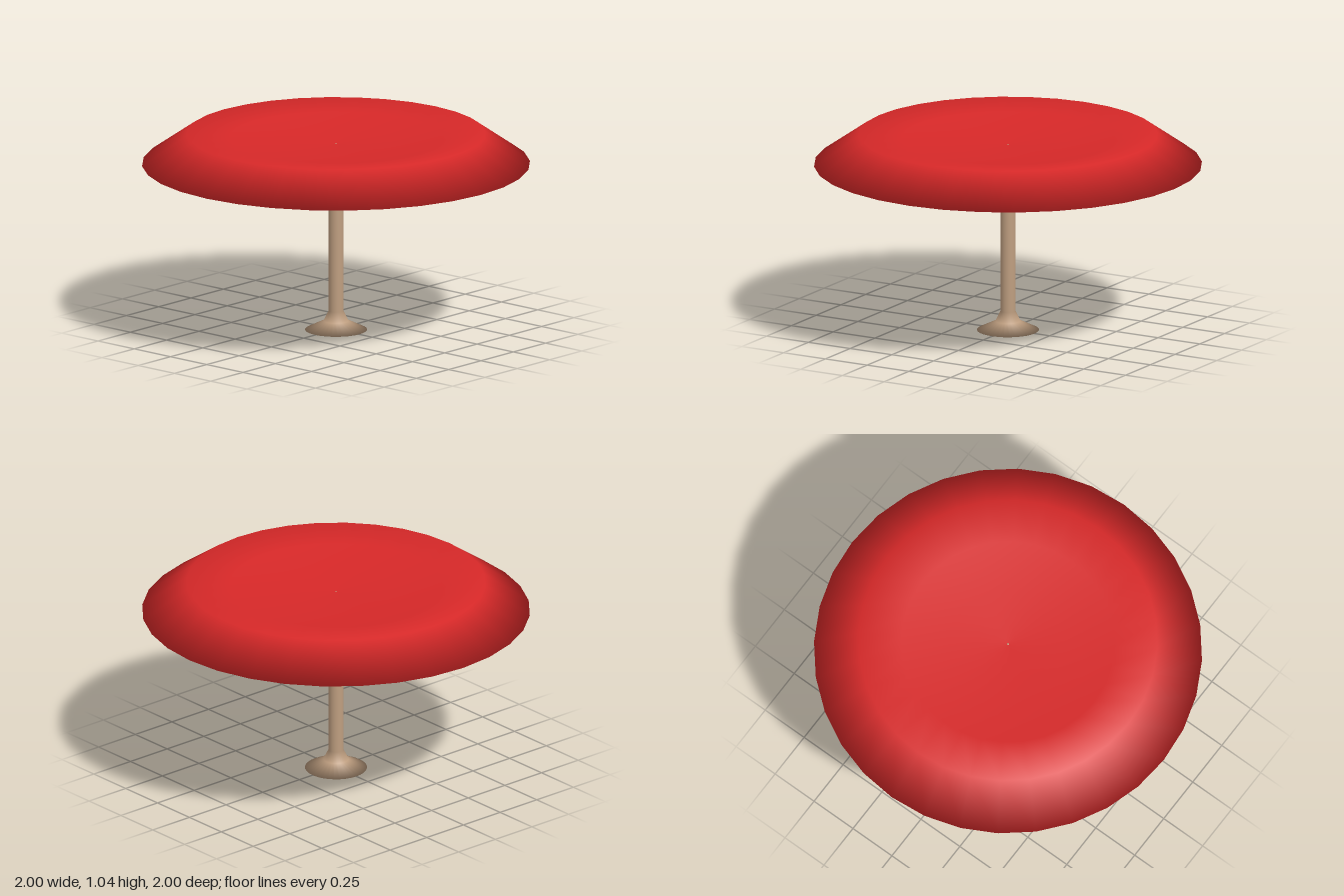
import * as THREE from 'three';

const SIDES = 32;

function material(name, color) {
  const m = new THREE.MeshStandardMaterial({ color });
  m.name = name;
  return m;
}

function lathe(profile, sides) {
  return new THREE.LatheGeometry(profile.map(([r, y]) => new THREE.Vector2(r, y)), sides);
}

// Sort the quads of a lathe into one material group per colour; bands[j] is the colour of profile step j
function colourBands(geometry, bands) {
  const old = geometry.index.array;
  const sorted = [];
  for (let c = 0; c <= Math.max(...bands); c++) {
    const start = sorted.length;
    for (let q = 0; q < old.length / 6; q++) {
      if (bands[q % bands.length] === c) sorted.push(...old.slice(q * 6, q * 6 + 6));
    }
    geometry.addGroup(start, sorted.length - start, c);
  }
  geometry.setIndex(sorted);
}

export function createModel() {
  const red = material('red', 0xd62828);
  const beige = material('beige', 0xbc9c7e);
  const darkBrown = material('darkBrown', 0x4c3e2c);
  const model = new THREE.Group();

  // Cap: thin shell running from the hollow underside, round the rim, to the dished top
  const capProfile = [
    [0, 0.972], [0.3, 0.97], [0.72, 0.96], [0.85, 0.923], [1, 0.88],
    [0.77, 1.04], [0.55, 1.018], [0.3, 0.995], [0, 0.985],
  ];
  const rim = 4;
  const capGeometry = lathe(capProfile, SIDES);
  // Rounded shading along the thin rim
  for (let i = 0; i <= SIDES; i++) {
    const a = (i / SIDES) * Math.PI * 2;
    capGeometry.attributes.normal.setXYZ(
      i * capProfile.length + rim, 0.85 * Math.sin(a), -0.527, 0.85 * Math.cos(a));
  }
  colourBands(capGeometry, [1, 2, 2, 1, 0, 0, 0, 0]);
  const cap = new THREE.Mesh(capGeometry, [red, beige, darkBrown]);
  cap.name = 'cap';
  model.add(cap);

  // Stem with its flared foot; the tip just reaches through the cap
  const stem = new THREE.Mesh(lathe([
    [0, 0], [0.16, 0], [0.064, 0.047], [0.039, 0.1], [0.039, 0.974], [0, 0.987],
  ], SIDES), beige);
  stem.name = 'stem';
  model.add(stem);

  return model;
}
